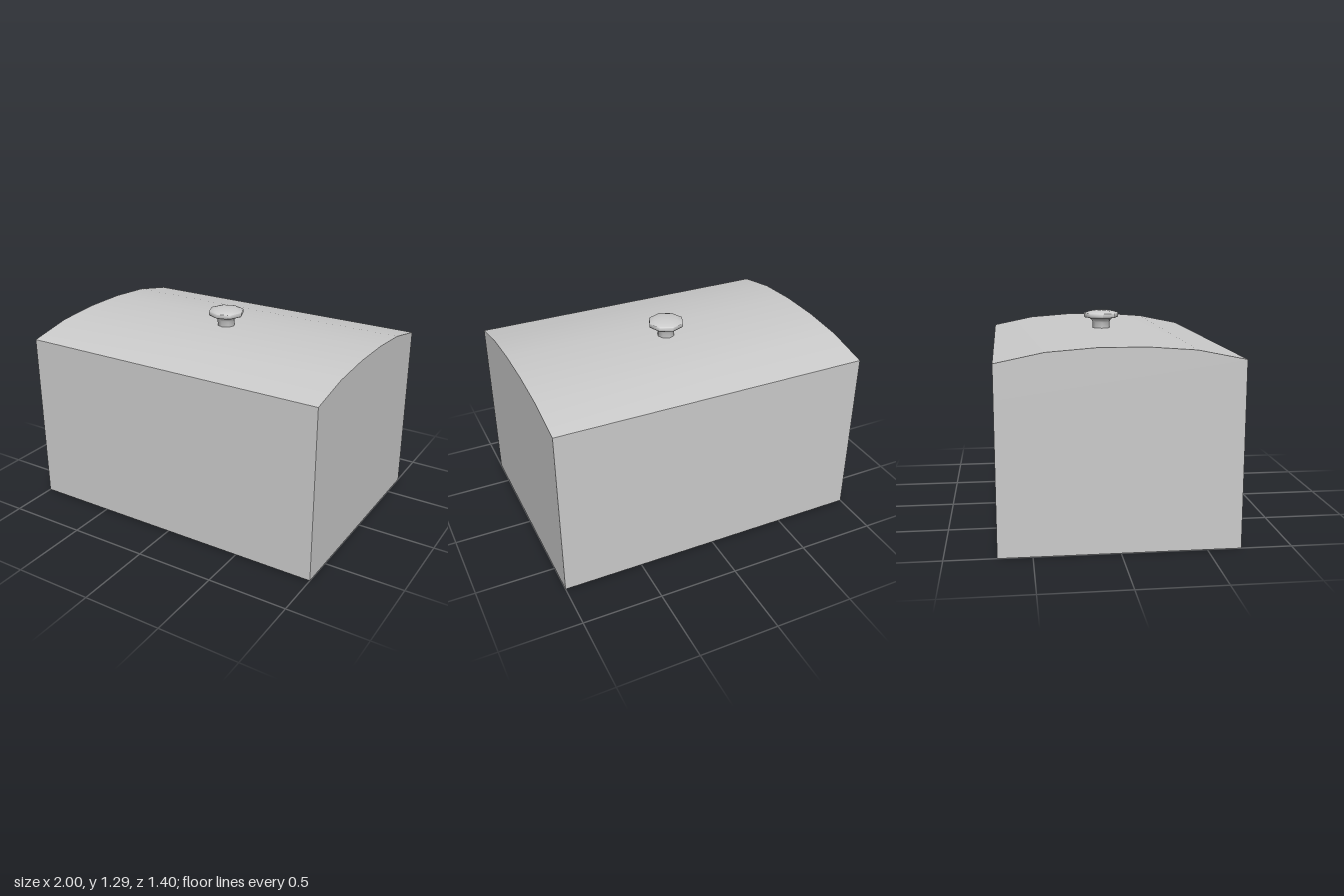
import * as THREE from 'three';
import { toCreasedNormals } from 'three/addons/utils/BufferGeometryUtils.js';

const WIDTH = 2, DEPTH = 1.4, SEAM = 0.9;

export function createModel() {
  const group = new THREE.Group();
  const material = new THREE.MeshStandardMaterial({ color: 0xcccccc });
  const add = (name, geometry) => {
    const mesh = new THREE.Mesh(geometry, material);
    mesh.name = name;
    group.add(mesh);
    return mesh;
  };

  // Chest body
  add('body', new THREE.BoxGeometry(WIDTH, SEAM, DEPTH)).position.y = SEAM / 2;

  // Lid: shallow five-facet arch, extruded along x with a smooth top
  const half = DEPTH / 2;
  const arch = [[half, 1.1], [0.42, 1.157], [0.14, 1.178]];
  const outline = [
    [-half, SEAM], [half, SEAM],
    ...arch,
    ...arch.map(([z, y]) => [-z, y]).reverse(),
  ].map(([z, y]) => new THREE.Vector2(z, y));
  const lid = new THREE.ExtrudeGeometry(new THREE.Shape(outline), { depth: WIDTH, bevelEnabled: false });
  lid.translate(0, 0, -WIDTH / 2).rotateY(-Math.PI / 2);
  add('lid', toCreasedNormals(lid, Math.PI / 6));

  // Knob: octagonal turned profile with a flared neck and domed cap
  const profile = [
    [0.056, 1.17], [0.056, 1.215], [0.064, 1.232], [0.08, 1.242],
    [0.108, 1.246], [0.113, 1.252], [0.113, 1.274], [0.108, 1.278],
    [0.075, 1.288], [0.035, 1.293], [0, 1.294],
  ].map(([r, y]) => new THREE.Vector2(r, y));
  add('knob', toCreasedNormals(new THREE.LatheGeometry(profile, 8), 0.87));

  return group;
}
